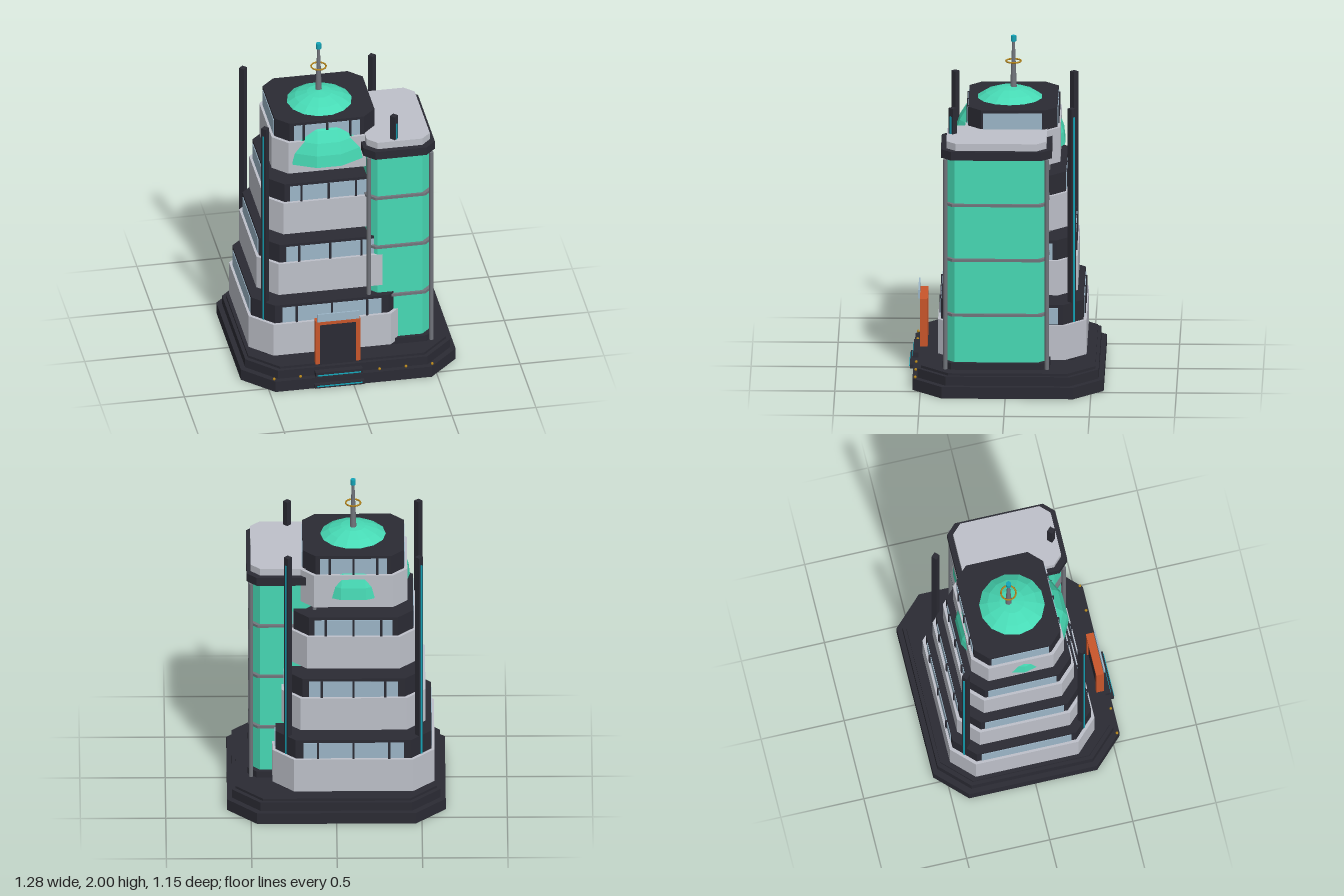
import * as THREE from 'three';

const mat = (name, color, extra = {}) => Object.assign(new THREE.MeshStandardMaterial({ color, ...extra }), { name });

export function createModel() {
  const root = new THREE.Group();
  const dark = mat('charcoal', 0x2b2b34);
  const light = mat('pale grey', 0xbec1ca);
  const green = mat('green glass', 0x47dab5, { side: THREE.DoubleSide, flatShading: true });
  const glass = mat('window blue', 0x9cb6c8);
  const steel = mat('steel grey', 0x72757c);
  const cyan = mat('cyan', 0x14a5b8);
  const gold = mat('gold', 0xb5851c);
  const orange = mat('orange', 0xc9562b);

  const add = (name, geo, material, x = 0, y = 0, z = 0, parent = root) => {
    const m = new THREE.Mesh(geo, material);
    m.name = name;
    m.position.set(x, y, z);
    parent.add(m);
    return m;
  };
  const box = (name, material, w, h, d, x, y, z, parent) =>
    add(name, new THREE.BoxGeometry(w, h, d), material, x, y, z, parent);

  // Upright block with chamfered corners, from y0 to y1
  const block = (name, material, hx, hz, c, y0, y1, x, z, parent) => {
    const s = new THREE.Shape([
      [hx - c, -hz], [hx, c - hz], [hx, hz - c], [hx - c, hz],
      [c - hx, hz], [-hx, hz - c], [-hx, c - hz], [c - hx, -hz],
    ].map(p => new THREE.Vector2(...p)));
    const g = new THREE.ExtrudeGeometry(s, { depth: y1 - y0, bevelEnabled: false });
    g.rotateX(-Math.PI / 2);
    return add(name, g, material, x, y0, z, parent);
  };

  // Stepped base
  const baseZ = -0.014;
  block('baseLower', dark, 0.64, 0.56, 0.175, 0, 0.07, 0, baseZ);
  block('baseMiddle', dark, 0.61, 0.53, 0.165, 0.07, 0.125, 0, baseZ);
  block('baseUpper', dark, 0.59, 0.51, 0.16, 0.125, 0.14, 0, baseZ);
  for (let i = -3; i <= 3; i++)
    add('baseLamp', new THREE.SphereGeometry(0.009, 8, 6), gold, i * 0.157, 0.08, 0.53);

  // Four floors, each smaller than the one below
  const cx = -0.1, cz = -0.035;
  for (let i = 0; i < 4; i++) {
    const floor = new THREE.Group();
    floor.name = 'floor' + (i + 1);
    root.add(floor);
    const hx = 0.475 - i * 0.053, hz = 0.435 - i * 0.052;
    const y = 0.16 + i * 0.38, c = hx * 0.265;
    block('parapet', light, hx, hz, c, y, y + 0.21, cx, cz, floor);
    const ix = hx - 0.018, iz = hz - 0.018;
    block('windowBand', dark, ix, iz, c - 0.008, y + 0.21, y + 0.33, cx, cz, floor);
    for (const s of [-1, 1]) {
      const yw = y + 0.262;
      box('windowLong', glass, hx * 1.24, 0.1, 0.008, cx, yw, cz + s * iz, floor);
      box('windowSide', glass, 0.008, 0.1, hz * 1.24, cx + s * ix, yw, cz, floor);
      for (const k of [-1, 0, 1])
        box('mullion', dark, 0.013, 0.105, 0.016, cx + k * hx * 0.44, yw, cz + s * (iz + 0.004), floor);
    }
  }

  // Dome breaking through the roof and the walls of the top floor
  add('dome', new THREE.SphereGeometry(0.333, 14, 7, 0, Math.PI * 2, 0, Math.PI / 2), green, cx, 1.36, baseZ);

  // Antenna
  add('antennaMast', new THREE.CylinderGeometry(0.008, 0.02, 0.3, 8), steel, cx, 1.82, cz);
  add('antennaTip', new THREE.CylinderGeometry(0.016, 0.016, 0.034, 10), cyan, cx, 1.983, cz);
  add('antennaRing', new THREE.TorusGeometry(0.044, 0.005, 6, 24).rotateX(Math.PI / 2), gold, cx, 1.845, cz);

  // Corner posts turned to the diagonal, with a cyan strip on the outer face
  for (const sx of [-1, 1]) for (const sz of [-1, 1]) {
    const post = new THREE.Group();
    post.name = 'cornerPost';
    post.position.set(cx + sx * 0.384, 0, cz + sz * 0.348);
    post.rotation.y = Math.atan2(sx, sz);
    root.add(post);
    box('postShaft', dark, 0.034, 1.53, 0.034, 0, 0.905, 0, post);
    box('postStrip', cyan, 0.01, 1.44, 0.006, 0, 0.9, 0.018, post);
  }

  // Glazed stair tower
  const tower = new THREE.Group();
  tower.name = 'tower';
  root.add(tower);
  const tx = 0.313, tz = 0.055;
  block('towerFoot', dark, 0.205, 0.315, 0.05, 0.14, 0.18, tx, tz, tower);
  block('towerGlass', green, 0.183, 0.293, 0.05, 0.18, 1.42, tx, tz, tower);
  block('towerCap', dark, 0.213, 0.325, 0.06, 1.42, 1.472, tx, tz, tower);
  block('towerRoof', light, 0.188, 0.293, 0.055, 1.472, 1.515, tx, tz, tower);
  for (const y of [0.47, 0.805, 1.14])
    block('towerBand', steel, 0.198, 0.308, 0.05, y - 0.008, y + 0.008, tx, tz, tower);
  for (const sx of [-1, 1]) for (const sz of [-1, 1])
    add('towerPole', new THREE.CylinderGeometry(0.013, 0.013, 1.28, 10), steel,
      tx + sx * 0.186, 0.78, tz + sz * 0.297, tower);

  // Free-standing entrance
  const door = new THREE.Group();
  door.name = 'entrance';
  door.position.x = -0.087;
  root.add(door);
  for (const s of [-1, 1])
    box('doorJamb', orange, 0.026, 0.29, 0.046, s * 0.12, 0.285, 0.488, door);
  box('doorLintel', orange, 0.214, 0.025, 0.046, 0, 0.4175, 0.488, door);
  box('doorPanel', dark, 0.214, 0.266, 0.03, 0, 0.273, 0.49, door);
  box('doorSign', glass, 0.25, 0.052, 0.009, 0, 0.458, 0.516, door);

  // Entrance steps with lit edges
  box('stepUpper', dark, 0.28, 0.03, 0.05, 0, 0.09, 0.525, door);
  box('stepUpperLight', cyan, 0.26, 0.007, 0.006, 0, 0.085, 0.551, door);
  box('stepLower', dark, 0.295, 0.024, 0.04, 0, 0.022, 0.549, door);
  box('stepLowerLight', cyan, 0.27, 0.007, 0.006, 0, 0.024, 0.57, door);

  return root;
}
